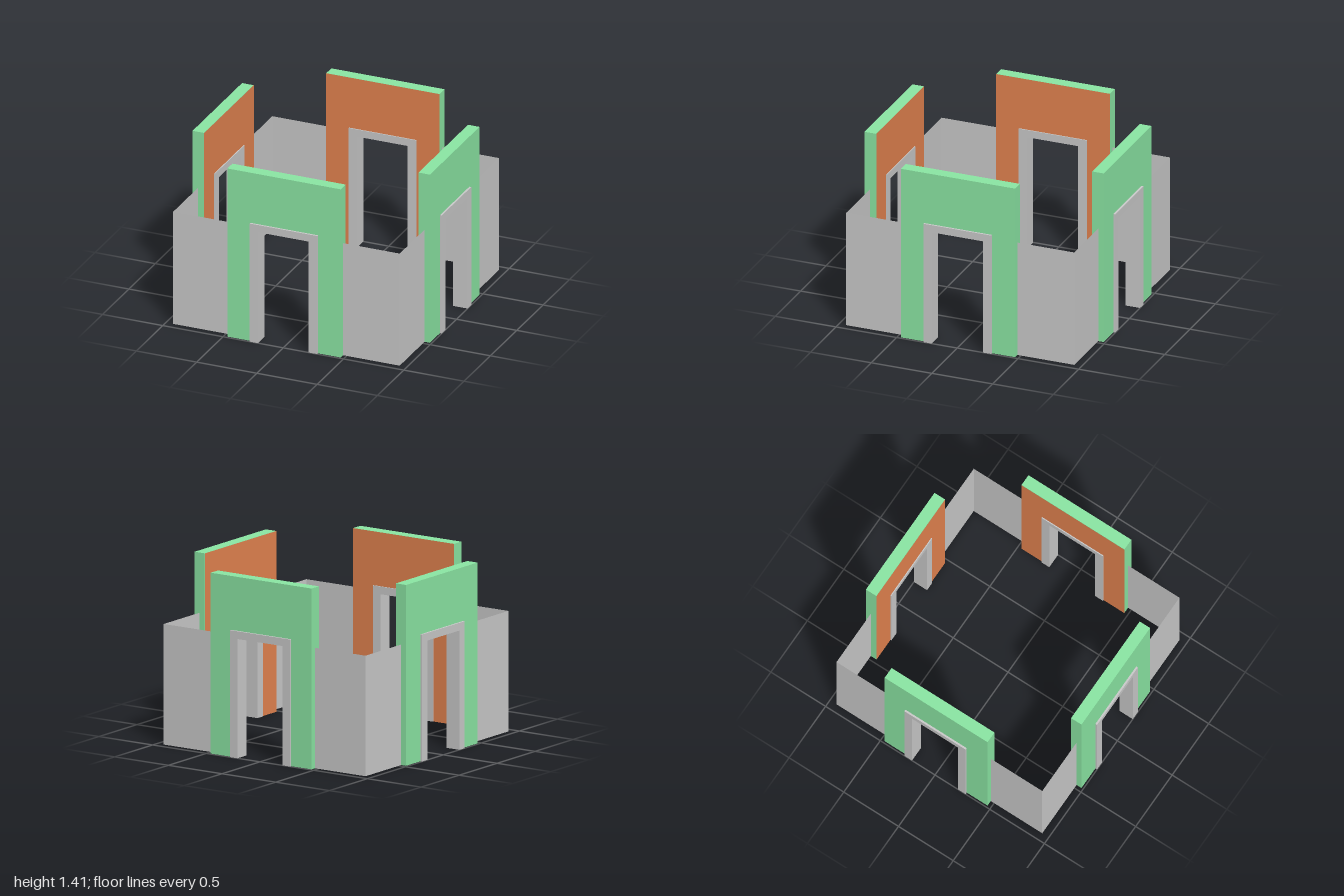
import * as THREE from 'three';

const grey = new THREE.MeshStandardMaterial({ color: 0xcccccc });
const greySheet = new THREE.MeshStandardMaterial({ color: 0xcccccc, side: THREE.DoubleSide });
const green = new THREE.MeshStandardMaterial({ color: 0x8ce8a5 });
const orange = new THREE.MeshStandardMaterial({ color: 0xe58450 });

// Upside-down U outline standing on y = 0
function archShape(outerHalf, outerTop, innerHalf, innerTop) {
  return new THREE.Shape([
    [-outerHalf, 0], [-innerHalf, 0], [-innerHalf, innerTop], [innerHalf, innerTop],
    [innerHalf, 0], [outerHalf, 0], [outerHalf, outerTop], [-outerHalf, outerTop],
  ].map(([x, y]) => new THREE.Vector2(x, y)));
}

function addMesh(group, name, geometry, material) {
  const mesh = new THREE.Mesh(geometry, material);
  mesh.name = name;
  group.add(mesh);
  return mesh;
}

function extrudeArch(shape, zInner, zOuter) {
  return new THREE.ExtrudeGeometry(shape, { depth: zOuter - zInner, bevelEnabled: false })
    .translate(0, 0, zInner);
}

// One side of the enclosure, facing +z
function createGateway() {
  const gate = new THREE.Group();
  const panelShape = archShape(0.47, 1.41, 0.28, 0.99);

  // Tall green panel with an orange inward face
  addMesh(gate, 'gatePanel', extrudeArch(panelShape, 0.89, 0.985), green);
  const lining = new THREE.ShapeGeometry(panelShape).rotateY(Math.PI).translate(0, 0, 0.888);
  addMesh(gate, 'gateInnerFace', lining, orange);

  // Door frame, slightly proud of the panel on both faces
  const frameShape = archShape(0.28, 0.99, 0.21, 0.93);
  addMesh(gate, 'doorFrame', extrudeArch(frameShape, 0.88, 1), grey);

  // Thin walls from the panel to the corners
  for (const side of [-1, 1]) {
    const wall = new THREE.PlaneGeometry(0.47, 0.94).translate(side * 0.705, 0.47, 0.94);
    addMesh(gate, side > 0 ? 'leftWall' : 'rightWall', wall, greySheet);
  }
  return gate;
}

export function createModel() {
  const model = new THREE.Group();
  model.name = 'squareEnclosure';
  ['frontGateway', 'leftGateway', 'backGateway', 'rightGateway'].forEach((name, i) => {
    const gate = createGateway();
    gate.name = name;
    gate.rotation.y = i * Math.PI / 2;
    model.add(gate);
  });
  return model;
}
